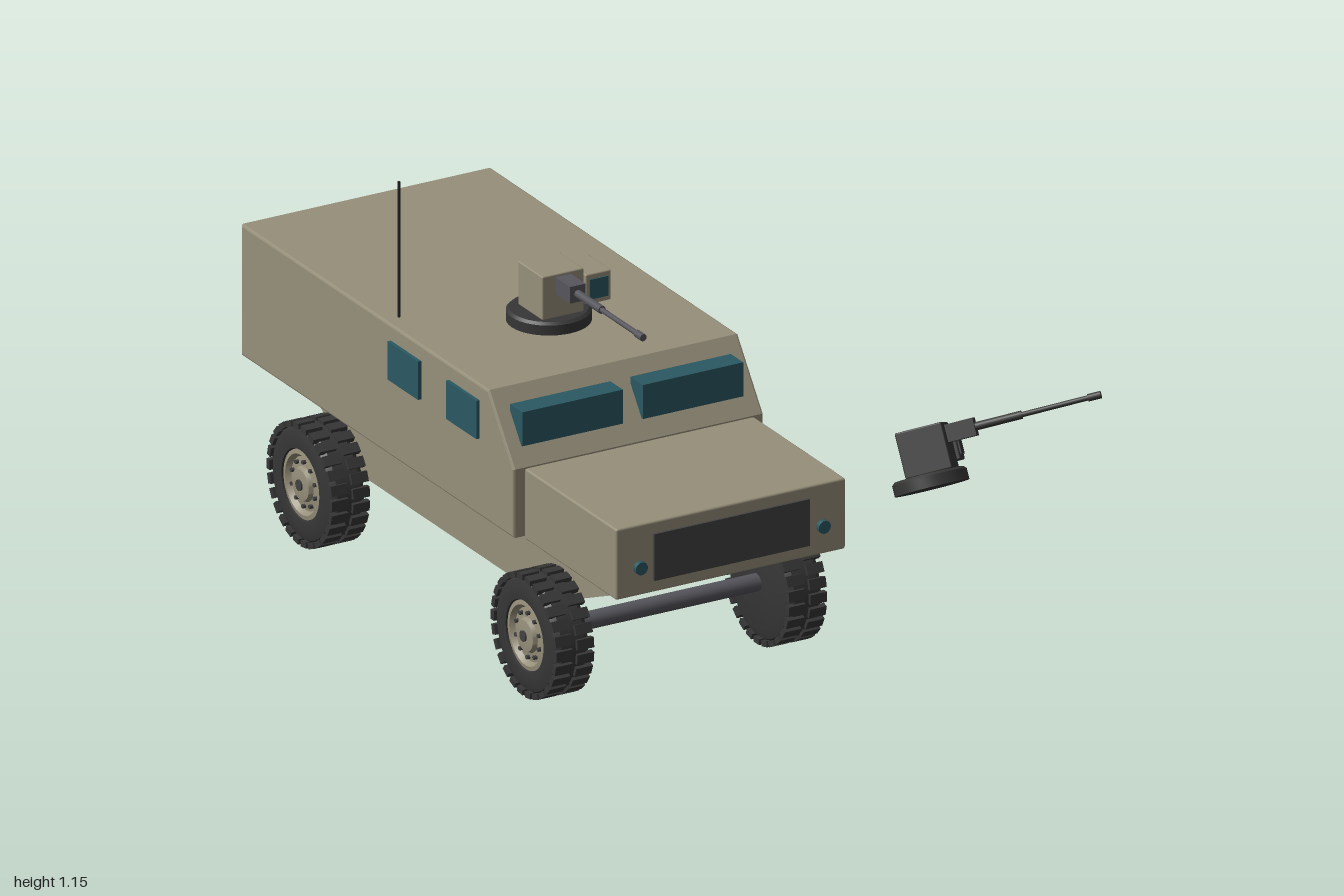
import * as THREE from 'three';
import { toCreasedNormals } from 'three/addons/utils/BufferGeometryUtils.js';
import { RoundedBoxGeometry } from 'three/addons/geometries/RoundedBoxGeometry.js';

const paint = (name, color) => {
  const m = new THREE.MeshStandardMaterial({ color });
  m.name = name;
  return m;
};
const tan = paint('armour tan', 0x968f7a);
const glass = paint('teal glass', 0x2b5962);
const rubber = paint('tyre rubber', 0x363637);
const steel = paint('gun steel', 0x55555c);
const grilleGrey = paint('grille grey', 0x434344);
const black = paint('black fittings', 0x262628);
const burnt = paint('burnt metal', 0x353534);

function add(parent, name, geometry, material, x = 0, y = 0, z = 0) {
  const mesh = new THREE.Mesh(geometry, material);
  mesh.name = name;
  mesh.position.set(x, y, z);
  parent.add(mesh);
  return mesh;
}

function group(parent, name, x = 0, y = 0, z = 0) {
  const g = new THREE.Group();
  g.name = name;
  g.position.set(x, y, z);
  parent.add(g);
  return g;
}

const box = (w, h, d) => new THREE.BoxGeometry(w, h, d);
const tubeX = (r, len, n = 24) => new THREE.CylinderGeometry(r, r, len, n).rotateZ(-Math.PI / 2);
const tubeZ = (r, len, n = 16) => new THREE.CylinderGeometry(r, r, len, n).rotateX(Math.PI / 2);

// Turned part from [radius, height] pairs, sharp at its corners
function turned(points, segments = 40) {
  const lathe = new THREE.LatheGeometry(points.map(p => new THREE.Vector2(...p)), segments);
  return toCreasedNormals(lathe, 0.6);
}

// Side profile of [z, y] pairs, extruded across the width
function sideProfile(points, width, bevel = 0) {
  const shape = new THREE.Shape(points.map(p => new THREE.Vector2(...p)));
  const depth = width - 2 * bevel;
  const g = new THREE.ExtrudeGeometry(shape, {
    depth, bevelEnabled: bevel > 0, bevelSize: bevel, bevelThickness: bevel,
    bevelOffset: -bevel, bevelSegments: 2,
  });
  return g.translate(0, 0, -depth / 2).rotateY(-Math.PI / 2);
}

// Wheel whose outer face looks along +x
function makeWheel(parent, name, x, y, z, side) {
  const wheel = group(parent, name, x, y, z);
  if (side < 0) wheel.rotation.y = Math.PI;
  add(wheel, 'tyre', turned([
    [0, -0.055], [0.125, -0.057], [0.15, -0.05], [0.161, -0.035], [0.161, 0.035],
    [0.15, 0.05], [0.125, 0.057], [0.098, 0.054], [0.094, 0.025], [0, 0.025],
  ]).rotateZ(-Math.PI / 2), rubber);
  add(wheel, 'rim', turned([
    [0.095, 0.026], [0.095, 0.05], [0.083, 0.052], [0.074, 0.038], [0.048, 0.042],
    [0.043, 0.054], [0.028, 0.056], [0, 0.056],
  ]).rotateZ(-Math.PI / 2), tan);
  add(wheel, 'hubCap', tubeX(0.015, 0.01), grilleGrey, 0.056);

  // Two staggered rows of tread blocks
  const blocks = 26;
  const blockGeo = box(0.05, 0.016, 0.028);
  for (const row of [-1, 1]) {
    for (let i = 0; i < blocks; i++) {
      const a = (i + (row > 0 ? 0.5 : 0)) / blocks * Math.PI * 2;
      const block = add(wheel, 'treadBlock', blockGeo, rubber,
        row * 0.032, 0.162 * Math.cos(a), 0.162 * Math.sin(a));
      block.rotation.x = a;
    }
  }
  // Wheel bolts
  for (let i = 0; i < 10; i++) {
    const a = i / 10 * Math.PI * 2;
    add(wheel, 'bolt', tubeX(0.006, 0.014, 8), grilleGrey,
      0.042, 0.062 * Math.cos(a), 0.062 * Math.sin(a));
  }
}

// Remote gun turret standing on its ring, gun along +z
function makeTurret(parent, name, m, ringRadius) {
  const t = group(parent, name);
  add(t, 'ring', turned([
    [0, 0], [ringRadius, 0], [ringRadius, 0.03], [ringRadius - 0.008, 0.037], [0, 0.037],
  ]), m.ring);
  add(t, 'turretBody', new RoundedBoxGeometry(0.125, 0.123, 0.127, 2, 0.004), m.body, 0, 0.098, 0.01);
  add(t, 'sightBox', new RoundedBoxGeometry(0.077, 0.085, 0.12, 2, 0.004), m.body, 0.101, 0.1, 0.023);
  add(t, 'sightLens', box(0.056, 0.056, 0.006), m.lens, 0.101, 0.1, 0.084);
  add(t, 'gunCradle', box(0.047, 0.047, 0.08), m.gun, 0, 0.128, 0.11);
  add(t, 'barrelJacket', tubeZ(0.011, 0.13), m.gun, 0, 0.128, 0.21);
  add(t, 'barrel', tubeZ(0.007, 0.22), m.gun, 0, 0.128, 0.37);
  add(t, 'muzzle', tubeZ(0.01, 0.035), m.gun, 0, 0.128, 0.472);
  return t;
}

export function createModel() {
  const model = new THREE.Group();
  model.name = 'armouredTruckAndWreckedTurret';
  const truck = group(model, 'truck', -0.571);

  // Armoured body, bonnet and tapered underside
  add(truck, 'cabin', sideProfile(
    [[0.504, 0.402], [0.504, 0.595], [0.372, 0.772], [-0.907, 0.772], [-0.907, 0.402]],
    0.752, 0.006), tan);
  add(truck, 'bonnet', new RoundedBoxGeometry(0.69, 0.2, 0.475, 2, 0.006), tan, 0, 0.495, 0.745);
  add(truck, 'hull', sideProfile(
    [[0.93, 0.38], [-0.83, 0.38], [-0.46, 0.197], [0.5, 0.197]], 0.528), tan);

  // Grille
  add(truck, 'grille', box(0.468, 0.132, 0.01), grilleGrey, 0, 0.495, 0.984);

  for (const s of [-1, 1]) {
    // Windscreens, side windows and lights
    add(truck, 'windscreen', box(0.302, 0.096, 0.065), glass, s * 0.181, 0.69, 0.4425);
    for (const z of [0.25, -0.052]) {
      add(truck, 'sideWindow', box(0.01, 0.108, 0.158), glass, s * 0.381, 0.674, z);
    }
    add(truck, 'headlight', tubeZ(0.018, 0.018, 20), glass, s * 0.275, 0.475, 0.987);
    add(truck, 'tailLight', box(0.056, 0.036, 0.012), black, s * 0.32, 0.445, -0.935);
    // Wheels
    for (const [label, z] of [['front', 0.61], ['rear', -0.551]]) {
      makeWheel(truck, label + (s > 0 ? 'LeftWheel' : 'RightWheel'), s * 0.35, 0.172, z, s);
    }
  }

  // Axles
  for (const z of [0.61, -0.551]) add(truck, 'axle', tubeX(0.024, 0.62), steel, 0, 0.175, z);

  // Spare wheel on the tail
  const spare = group(truck, 'spareWheel', 0, 0.544, -0.905);
  add(spare, 'spareTyre', turned([
    [0, 0], [0.138, 0], [0.147, 0.01], [0.147, 0.08], [0.138, 0.09], [0, 0.09],
  ]).rotateX(-Math.PI / 2), rubber);
  add(spare, 'spareRim', tubeZ(0.09, 0.006, 40), tan, 0, 0, -0.092);

  // Aerial
  add(truck, 'aerial', new THREE.CylinderGeometry(0.004, 0.004, 0.385, 8), black, -0.331, 0.962, -0.167);

  // Roof turret
  const roofTurret = makeTurret(truck, 'roofTurret',
    { ring: rubber, body: tan, lens: glass, gun: steel }, 0.112);
  roofTurret.position.set(0, 0.77, 0.04);

  // Wrecked turret lying on the ground
  const wreck = makeTurret(model, 'wreckedTurret',
    { ring: burnt, body: burnt, lens: burnt, gun: burnt }, 0.1);
  wreck.position.set(0.572, 0.056, 0.056);
  wreck.rotation.set(-0.5, 0.95, 0);

  return model;
}
